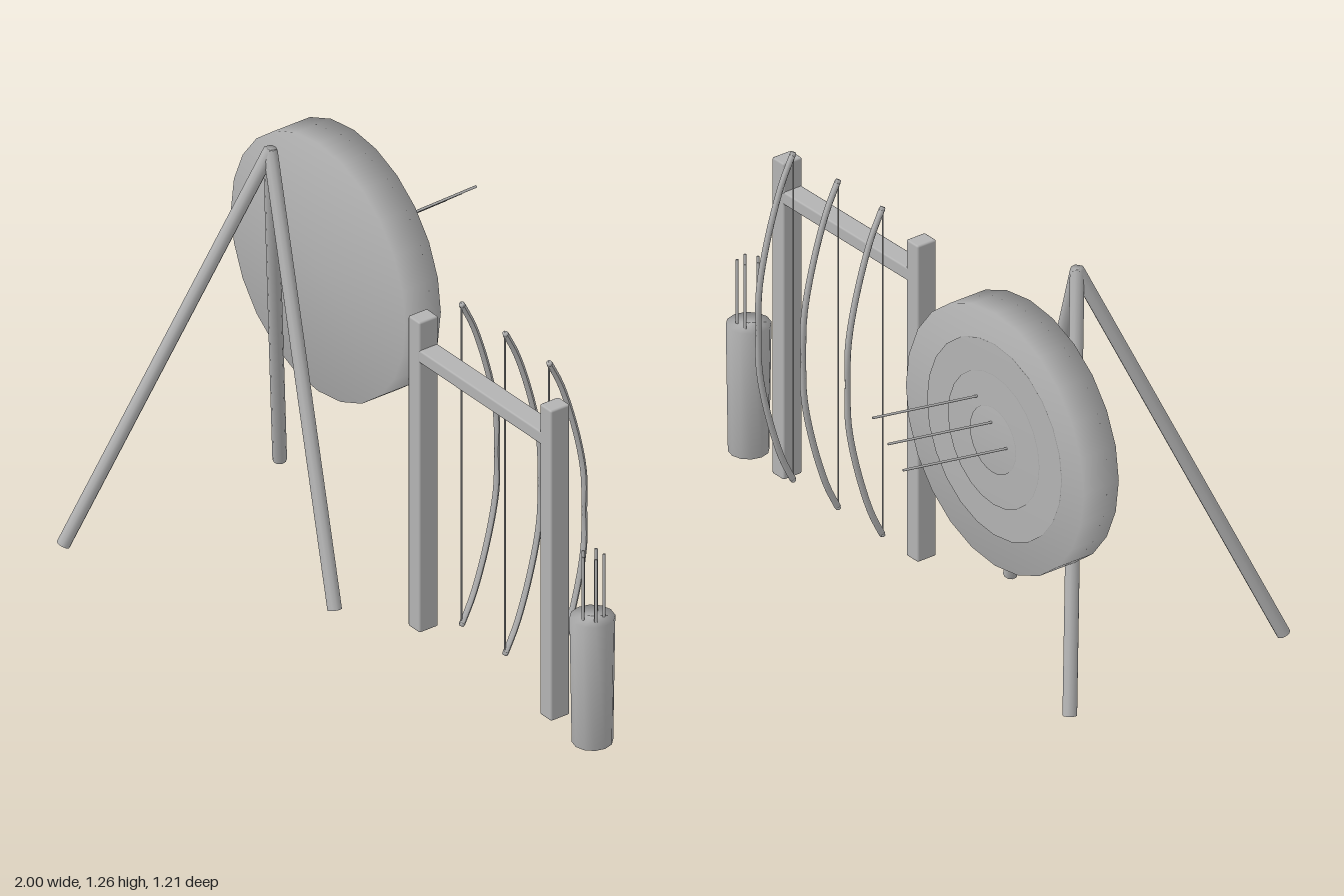
import * as THREE from 'three';
import { RoundedBoxGeometry } from 'three/addons/geometries/RoundedBoxGeometry.js';

const V = (x, y, z) => new THREE.Vector3(x, y, z);

export function createModel() {
  const model = new THREE.Group();
  const grey = new THREE.MeshStandardMaterial({ color: 0xb3b3b3 });
  grey.name = 'plain grey';

  const add = (parent, name, geometry) => {
    const mesh = new THREE.Mesh(geometry, grey);
    mesh.name = name;
    parent.add(mesh);
    return mesh;
  };
  const group = (name) => {
    const g = new THREE.Group();
    g.name = name;
    model.add(g);
    return g;
  };
  // closed round bar from a to b with softly shaded ends
  const rod = (parent, name, a, b, rA, rB = rA, sides = 8) => {
    const dir = b.clone().sub(a);
    const h = dir.length();
    const profile = [[0, 0], [rA, 0], [rB, h], [0, h]].map(([x, y]) => new THREE.Vector2(x, y));
    const mesh = add(parent, name, new THREE.LatheGeometry(profile, sides));
    mesh.position.copy(a);
    mesh.quaternion.setFromUnitVectors(V(0, 1, 0), dir.normalize());
    return mesh;
  };

  // tripod stand
  const tripod = group('tripod');
  for (const [x, z] of [[-0.865, 0.585], [-0.105, 0.19], [-0.87, -0.195]]) {
    rod(tripod, 'tripodLeg', V(x, 0.009, z), V(-0.59, 1.255, 0.052), 0.021, 0.021, 10);
  }

  // round target with thin stacked rings on its shooting face
  const target = group('target');
  const cx = -0.59, cy = 0.805;
  rod(target, 'targetDisc', V(cx, cy, -0.12), V(cx, cy, -0.247), 0.411, 0.411, 24);
  [0.31, 0.21, 0.105].forEach((r, i) => {
    rod(target, 'targetRing', V(cx, cy, -0.246), V(cx, cy, -0.25 - i * 0.0025), r, r, 24);
  });

  // arrows stuck in the target
  for (const i of [-1, 0, 1]) {
    rod(target, 'shotArrow',
      V(cx + 0.005 + i * 0.07, 0.86 + i * 0.055, -0.245),
      V(cx + 0.038 + i * 0.07, 0.895 + i * 0.055, -0.605), 0.004, 0.004, 6);
  }

  // rack: two posts and a crossbar
  const rack = group('bowRack');
  for (const x of [0.128, 0.748]) {
    add(rack, 'rackPost', new RoundedBoxGeometry(0.055, 1.03, 0.068, 1, 0.006))
      .position.set(x, 0.53, 0.05);
  }
  add(rack, 'crossbar', new RoundedBoxGeometry(0.66, 0.042, 0.066, 1, 0.006))
    .position.set(0.438, 0.932, 0.05);

  // bows: bent limbs, slimmer at the grip, each with a straight string
  const half = [[0.53, -0.004], [0.445, -0.045], [0.275, -0.098], [0.125, -0.127]];
  const limb = new THREE.CatmullRomCurve3([
    ...half.map(([y, z]) => V(0, y, z)),
    V(0, 0, -0.129),
    ...half.slice().reverse().map(([y, z]) => V(0, -y, z)),
  ]);
  const limbGeometry = new THREE.TubeGeometry(limb, 32, 0.0095, 6);
  const p = limbGeometry.attributes.position;
  for (let i = 0; i < p.count; i++) {
    const pinch = 1 - 0.4 * Math.exp(-((p.getY(i) / 0.06) ** 2));
    p.setX(i, p.getX(i) * pinch);
  }
  limbGeometry.computeVertexNormals();
  for (const x of [0.24, 0.445, 0.652]) {
    const bow = group('bow');
    bow.position.set(x, 0.585, 0);
    add(bow, 'bowLimbs', limbGeometry);
    for (const s of [1, -1]) {
      rod(bow, 'limbTip', V(0, s * 0.526, -0.006), V(0, s * 0.535, -0.001), 0.0095, 0.008, 6);
    }
    rod(bow, 'bowString', V(0, -0.53, -0.002), V(0, 0.53, -0.002), 0.0025, 0.0025, 5);
  }

  // quiver with five arrows standing in it
  const quiver = group('quiver');
  rod(quiver, 'quiverBody', V(0.928, 0.014, 0.052), V(0.928, 0.426, 0.052), 0.06, 0.066, 12);
  for (let i = 0; i < 5; i++) {
    const a = i * Math.PI * 0.4 + 0.35;
    const x = 0.928 + 0.033 * Math.cos(a), z = 0.052 + 0.033 * Math.sin(a);
    rod(quiver, 'storedArrow', V(x, 0.4, z), V(x, 0.632, z), 0.005, 0.005, 6);
  }

  return model;
}
